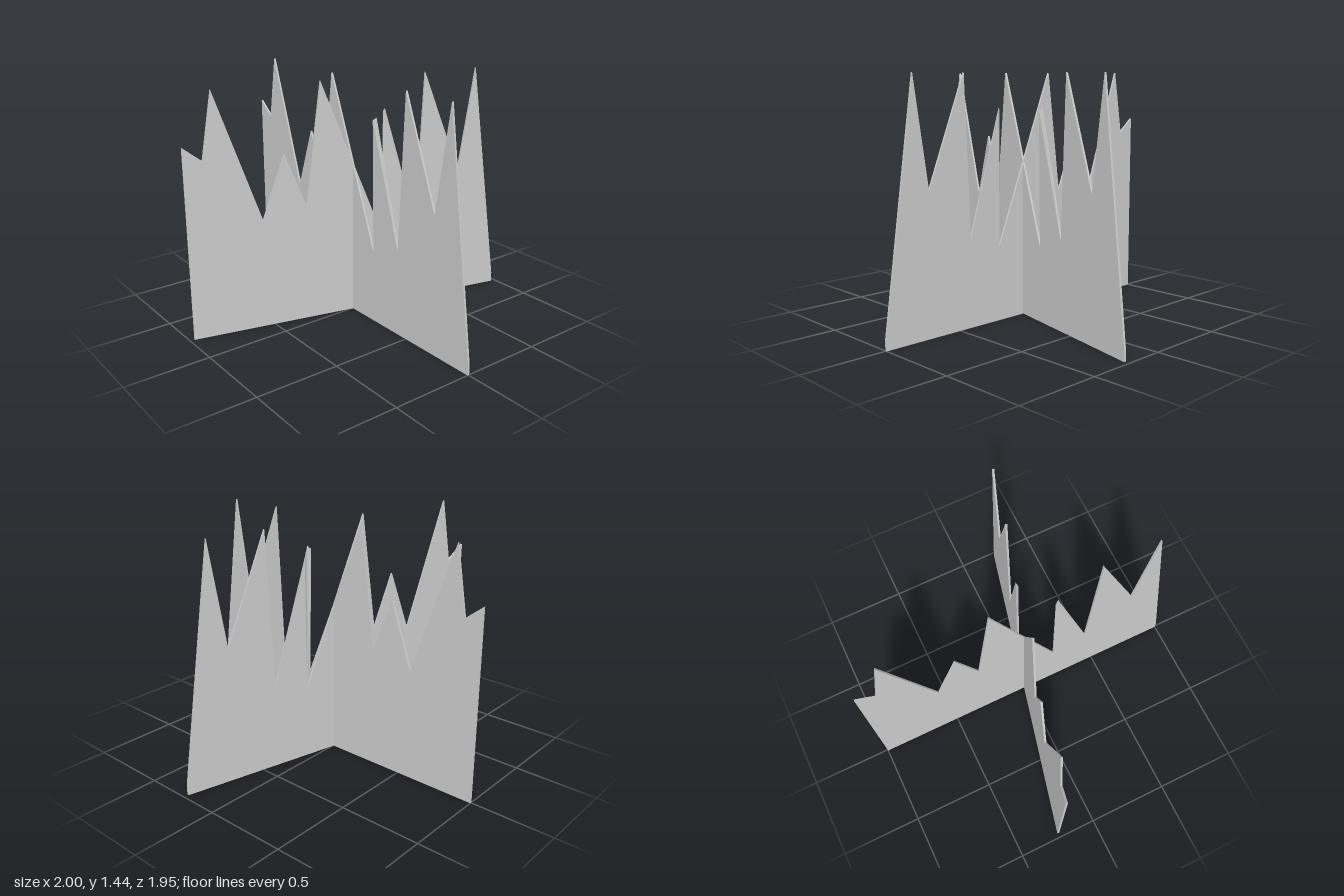
import * as THREE from 'three';

const THICKNESS = 0.012;

// Jagged outline, from the bottom left corner along the top to the bottom right
const OUTLINE = [
  [-1, 0], [-1, 1.14], [-0.893, 1.055], [-0.828, 1.44], [-0.563, 0.665],
  [-0.428, 1.045], [-0.3, 0.72], [-0.205, 1.44], [0.198, 0.44], [0.183, 1.228],
  [0.415, 0.515], [0.457, 1.44], [0.705, 0.815], [0.802, 1.44], [1, 0.06], [1, 0],
];
const SLANTED_PEAK = 9;

function panelGeometry() {
  const shape = new THREE.Shape(OUTLINE.map(([x, y]) => new THREE.Vector2(x, y)));
  const geometry = new THREE.ExtrudeGeometry(shape, { depth: THICKNESS, bevelEnabled: false });
  geometry.translate(0, 0, -THICKNESS / 2);

  // One peak leans between the front and back faces
  const [px, py] = OUTLINE[SLANTED_PEAK];
  const pos = geometry.attributes.position;
  for (let i = 0; i < pos.count; i++) {
    if (pos.getZ(i) < 0 && Math.hypot(pos.getX(i) - px, pos.getY(i) - py) < 1e-4) {
      pos.setXY(i, 0.202, 1.247);
    }
  }
  geometry.computeVertexNormals();
  return geometry;
}

export function createModel() {
  const group = new THREE.Group();
  group.name = 'crossedJaggedPanels';
  const geometry = panelGeometry();
  const material = new THREE.MeshStandardMaterial({ color: 0xcccccc, flatShading: true });

  // Two identical panels crossing at the centre
  [['widePanel', 0], ['crossPanel', 1.333]].forEach(([name, angle]) => {
    const panel = new THREE.Mesh(geometry, material);
    panel.name = name;
    panel.rotation.y = angle;
    group.add(panel);
  });
  return group;
}
